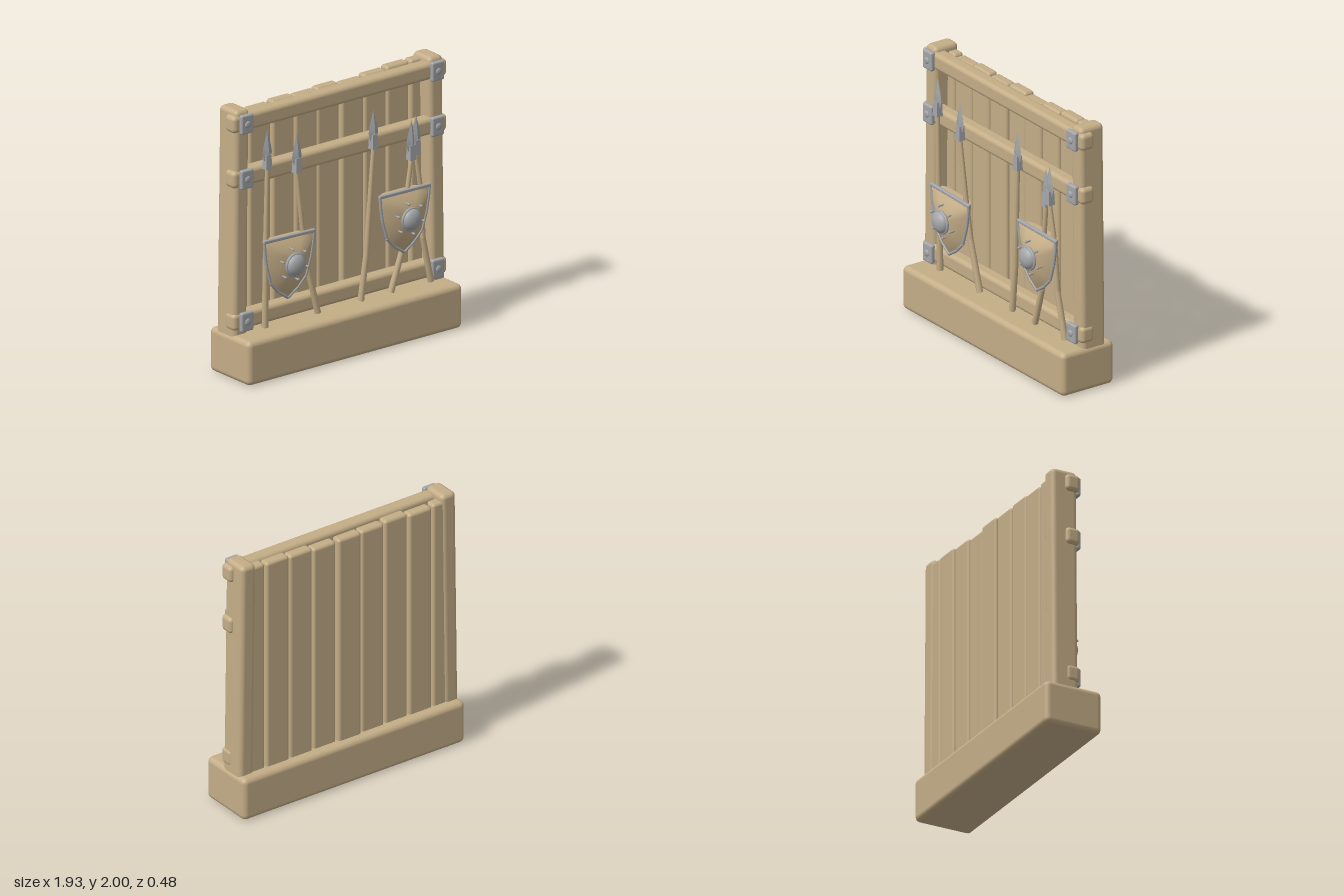
import * as THREE from 'three';
import { toCreasedNormals } from 'three/addons/utils/BufferGeometryUtils.js';
import { RoundedBoxGeometry } from 'three/addons/geometries/RoundedBoxGeometry.js';

const wood = new THREE.MeshStandardMaterial({ color: 0xc4ad87 });
wood.name = 'wood';
const iron = new THREE.MeshStandardMaterial({ color: 0xa3a5a8 });
iron.name = 'iron';

function add(parent, name, geo, mat, x = 0, y = 0, z = 0) {
  const m = new THREE.Mesh(geo, mat);
  m.name = name;
  m.position.set(x, y, z);
  parent.add(m);
  return m;
}

// Rounded block given by its limits on each axis
function block(parent, name, mat, [x0, x1], [y0, y1], [z0, z1], r) {
  const geo = new RoundedBoxGeometry(x1 - x0, y1 - y0, z1 - z0, 3, r);
  return add(parent, name, geo, mat, (x0 + x1) / 2, (y0 + y1) / 2, (z0 + z1) / 2);
}

// Round bar between two points
function bar(parent, name, mat, a, b, ra, rb, sides = 10) {
  const dir = b.clone().sub(a);
  const m = add(parent, name, new THREE.CylinderGeometry(rb, ra, dir.length(), sides), mat);
  m.position.copy(a).add(b).multiplyScalar(0.5);
  m.quaternion.setFromUnitVectors(new THREE.Vector3(0, 1, 0), dir.normalize());
  return m;
}

// Surface through closed rings of points; flip turns it inside out
function loft(rings, flip) {
  const n = rings[0].length, idx = [];
  for (let r = 0; r < rings.length - 1; r++) {
    for (let i = 0; i < n; i++) {
      const j = (i + 1) % n;
      const a = r * n + i, b = r * n + j, c = a + n, d = b + n;
      idx.push(...(flip ? [a, c, b, b, c, d] : [a, b, c, b, d, c]));
    }
  }
  const geo = new THREE.BufferGeometry().setFromPoints(rings.flat());
  geo.setIndex(idx);
  geo.computeVertexNormals();
  return geo;
}

// Wooden heater shield with an iron rim, domed boss and rivets
const half = [[0.222, 0.18], [0.215, 0.1], [0.198, 0], [0.157, -0.135], [0.085, -0.21]];
function shield(name, x, y, tilt) {
  const g = new THREE.Group();
  g.name = name;
  g.position.set(x, y, 0);
  g.rotation.z = tilt;
  // outline, anticlockwise from the front
  const outline = [
    ...half.map(([px, py]) => [-px, py]), [0, -0.268],
    ...half.slice().reverse(), [0.11, 0.18], [0, 0.18], [-0.11, 0.18],
  ];
  const front = [1, 0.85, 0.7, 0.55, 0.4, 0.2, 0.001].map((s) =>
    outline.map(([px, py]) => new THREE.Vector3(px * s, py * s, 0.105 + 0.075 * (1 - s * s))));
  add(g, 'shieldFront', loft(front, false), wood);
  // back keeps its top edge level while it narrows
  const back = [[1, 0.105], [0.8, 0.055], [0.62, 0.032], [0.001, 0.03]].map(([s, z]) =>
    outline.map(([px, py]) => new THREE.Vector3(px * s, 0.18 + (py - 0.18) * s, z)));
  add(g, 'shieldBack', toCreasedNormals(loft(back, true), 0.7), wood);
  // rim follows the curved sides, with a longer bar on top
  for (let i = 0; i < 10; i++) {
    const a = new THREE.Vector3(...outline[i], 0.108);
    const b = new THREE.Vector3(...outline[i + 1], 0.108);
    bar(g, 'shieldRim', iron, a, b, 0.011, 0.011, 8);
  }
  block(g, 'shieldTopBar', iron, [-0.232, 0.232], [0.174, 0.2], [0.094, 0.12], 0.008);
  const boss = add(g, 'boss', new THREE.SphereGeometry(0.08, 24, 16), iron, 0, 0, 0.19);
  boss.scale.z = 0.62;
  add(g, 'bossRing', new THREE.TorusGeometry(0.08, 0.011, 8, 28), iron, 0, 0, 0.188);
  for (let i = 0; i < 6; i++) {
    const t = (i + 0.7) * Math.PI / 3, rx = 0.118 * Math.cos(t), ry = 0.118 * Math.sin(t);
    bar(g, 'rivet', iron, new THREE.Vector3(rx, ry, 0.13), new THREE.Vector3(rx, ry, 0.185), 0.007, 0.007, 8);
    add(g, 'rivetHead', new THREE.SphereGeometry(0.01, 10, 8), iron, rx, ry, 0.187);
  }
  return g;
}

// Spear: slightly crooked shaft, socket and four-sided blade
function spear(name, path) {
  const g = new THREE.Group();
  g.name = name;
  const bottom = path[0][1], top = path[path.length - 1];
  const at = ([x, y]) => {
    const t = (y - bottom) / (top[1] - bottom);
    return { p: new THREE.Vector3(x, y, 0.064 + 0.022 * t), r: 0.024 - 0.008 * t };
  };
  for (let i = 0; i < path.length - 1; i++) {
    const a = at(path[i]), b = at(path[i + 1]);
    bar(g, 'shaft', wood, a.p, b.p, a.r, b.r);
    if (i) add(g, 'shaftBend', new THREE.SphereGeometry(a.r, 10, 8), wood, a.p.x, a.p.y, a.p.z);
  }
  const head = new THREE.Group();
  head.name = 'spearHead';
  head.position.set(top[0], top[1], 0.086);
  g.add(head);
  const socket = new THREE.CylinderGeometry(0.03, 0.037, 0.11, 4);
  socket.rotateY(Math.PI / 4);
  add(head, 'socket', toCreasedNormals(socket, 0.5), iron, 0, 0.055, 0);
  const blade = new THREE.LatheGeometry(
    [[0.0005, 0.03], [0.03, 0.07], [0.043, 0.12], [0.033, 0.175], [0.0005, 0.29]]
      .map(([r, y]) => new THREE.Vector2(r, y)), 4);
  blade.scale(1, 1, 0.5);
  add(head, 'blade', toCreasedNormals(blade, 0.4), iron);
  return g;
}

export function createModel() {
  const model = new THREE.Group();
  model.name = 'weaponRack';

  block(model, 'base', wood, [-0.965, 0.965], [0, 0.33], [-0.24, 0.21], 0.04);

  // Back planks, with uneven tops and depth
  const tops = [1.95, 1.94, 1.955, 1.945, 1.95, 1.94, 1.955, 1.968, 1.972];
  const shifts = [0, 0, 0.004, 0, -0.012, 0.004, 0, -0.006, 0];
  for (let i = 0; i < 9; i++) {
    const x0 = i === 0 ? -0.86 : -0.935 + 0.2075 * i;
    const x1 = i === 8 ? 0.86 : -0.942 + 0.2075 * (i + 1);
    block(model, 'plank', wood, [x0, x1], [0.28, tops[i]], [-0.165 + shifts[i], -0.08 + shifts[i]], 0.024);
  }

  // Posts lean slightly inwards
  for (const s of [-1, 1]) {
    const post = block(model, s > 0 ? 'leftPost' : 'rightPost', wood,
      [s * 0.88 - 0.063, s * 0.88 + 0.063], [0.28, 2.0], [-0.175, 0.03], 0.036);
    post.rotation.z = s * 0.013;
  }

  // Rails with an iron plate and bolt at each end
  for (const y of [1.902, 1.49, 0.425]) {
    block(model, 'rail', wood, [-0.962, 0.962], [y - 0.064, y + 0.064], [-0.072, 0.04], 0.032);
    for (const s of [-1, 1]) {
      block(model, 'plate', iron, [s * 0.858 - 0.055, s * 0.858 + 0.055], [y - 0.072, y + 0.072], [0.03, 0.068], 0.014);
      const bolt = add(model, 'bolt', new THREE.SphereGeometry(0.026, 14, 10), iron, s * 0.858, y, 0.068);
      bolt.scale.z = 0.4;
    }
  }

  // Spears, each a path from foot to head
  const paths = [
    [[-0.702, 0.35], [-0.705, 1], [-0.7, 1.54]],
    [[-0.227, 0.35], [-0.328, 0.72], [-0.37, 0.97], [-0.433, 1.45]],
    [[0.16, 0.35], [0.205, 0.7], [0.255, 1.47]],
    [[0.43, 0.35], [0.525, 0.64], [0.56, 1.05], [0.595, 1.31]],
    [[0.79, 0.35], [0.71, 0.7], [0.69, 1.05], [0.638, 1.34]],
  ];
  paths.forEach((p, i) => model.add(spear('spear' + (i + 1), p)));

  model.add(shield('rightShield', -0.525, 0.812, -0.025));
  model.add(shield('leftShield', 0.517, 0.91, -0.012));
  return model;
}
